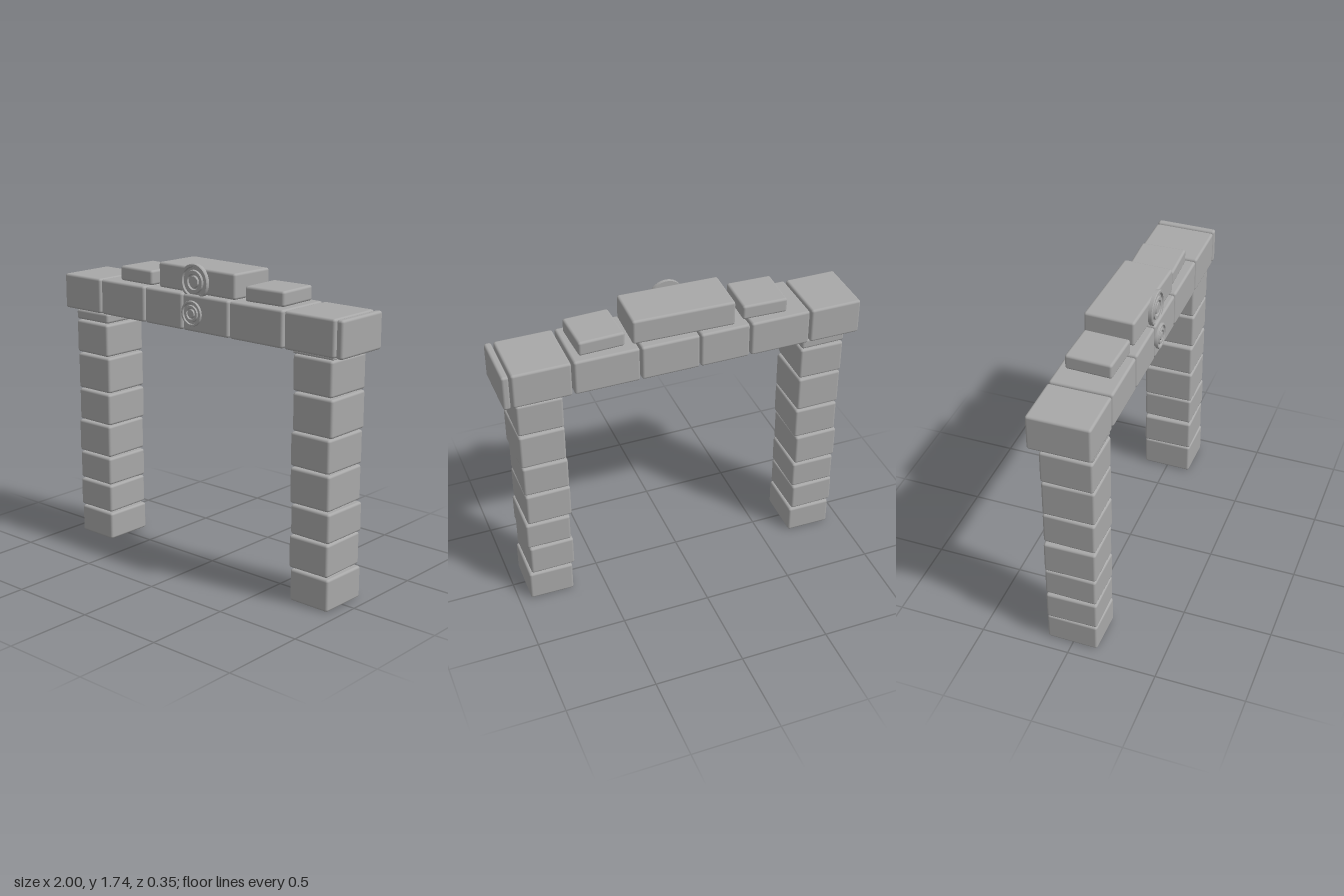
import * as THREE from 'three';
import { RoundedBoxGeometry } from 'three/addons/geometries/RoundedBoxGeometry.js';
import { toCreasedNormals } from 'three/addons/utils/BufferGeometryUtils.js';

export function createModel() {
  const model = new THREE.Group();
  const stone = new THREE.MeshStandardMaterial({ color: 0xa8a8a8 });
  stone.name = 'grey stone';

  // Softly bevelled block given by its extents along each axis
  function block(name, parent, [x0, x1], [y0, y1], [z0, z1], yaw = 0) {
    const w = x1 - x0, h = y1 - y0, d = z1 - z0;
    const radius = Math.min(0.014, Math.min(w, h, d) * 0.35);
    const mesh = new THREE.Mesh(new RoundedBoxGeometry(w, h, d, 2, radius), stone);
    mesh.position.set((x0 + x1) / 2, (y0 + y1) / 2, (z0 + z1) / 2);
    mesh.rotation.y = yaw;
    mesh.name = name;
    parent.add(mesh);
  }

  // Pillars: stacked blocks as [bottom, top, x centre]
  const pillars = {
    rightPillar: [
      [0.005, 0.165, -0.797], [0.173, 0.336, -0.805], [0.344, 0.506, -0.802], [0.514, 0.702, -0.807],
      [0.71, 0.895, -0.798], [0.903, 1.111, -0.8], [1.119, 1.307, -0.805], [1.315, 1.372, -0.805],
    ],
    leftPillar: [
      [0.005, 0.185, 0.805], [0.193, 0.375, 0.793], [0.383, 0.547, 0.802], [0.555, 0.75, 0.792],
      [0.758, 0.942, 0.793], [0.95, 1.155, 0.802], [1.163, 1.355, 0.8], [1.361, 1.375, 0.8],
    ],
  };
  for (const [name, rows] of Object.entries(pillars)) {
    const pillar = new THREE.Group();
    pillar.name = name;
    rows.forEach(([y0, y1, x], i) =>
      block('pillarBlock', pillar, [x - 0.126, x + 0.126], [y0, y1], [-0.145, 0.143], i % 2 ? 0.012 : -0.012));
    model.add(pillar);
  }

  // Lintel: a row of blocks of uneven length
  const lintel = new THREE.Group();
  lintel.name = 'lintel';
  const spans = [[-1, -0.71], [-0.7, -0.363], [-0.353, -0.077], [-0.069, 0.252],
    [0.262, 0.618], [0.63, 0.947], [0.957, 0.997]];
  spans.forEach((span) => block('lintelBlock', lintel, span, [1.375, 1.575], [-0.177, 0.163]));
  model.add(lintel);

  // Crowning stones, each slightly turned
  block('rightCapStone', model, [-0.585, -0.334], [1.578, 1.661], [-0.134, 0.12], -0.035);
  block('centreCapStone', model, [-0.28, 0.283], [1.578, 1.718], [-0.146, 0.131], -0.03);
  block('leftCapStone', model, [0.33, 0.582], [1.578, 1.66], [-0.134, 0.118], 0.035);

  // Round carved medallion with raised rim, inner ring and boss
  function medallion(name, r, y, back, depth) {
    const low = depth * 0.55;
    const profile = [
      [0, 0], [r, 0], [r, depth * 0.8], [r * 0.97, depth], [r * 0.84, depth], [r * 0.8, low],
      [r * 0.66, low], [r * 0.62, depth], [r * 0.45, depth], [r * 0.41, low],
      [r * 0.34, low], [r * 0.3, depth], [0, depth],
    ].map(([px, py]) => new THREE.Vector2(px, py));
    const mesh = new THREE.Mesh(toCreasedNormals(new THREE.LatheGeometry(profile, 40), 0.5), stone);
    mesh.rotation.x = Math.PI / 2;
    mesh.position.set(0, y, back);
    mesh.name = name;
    model.add(mesh);
  }
  medallion('upperMedallion', 0.097, 1.645, 0.13, 0.024);
  medallion('lowerMedallion', 0.07, 1.475, 0.155, 0.021);

  return model;
}
